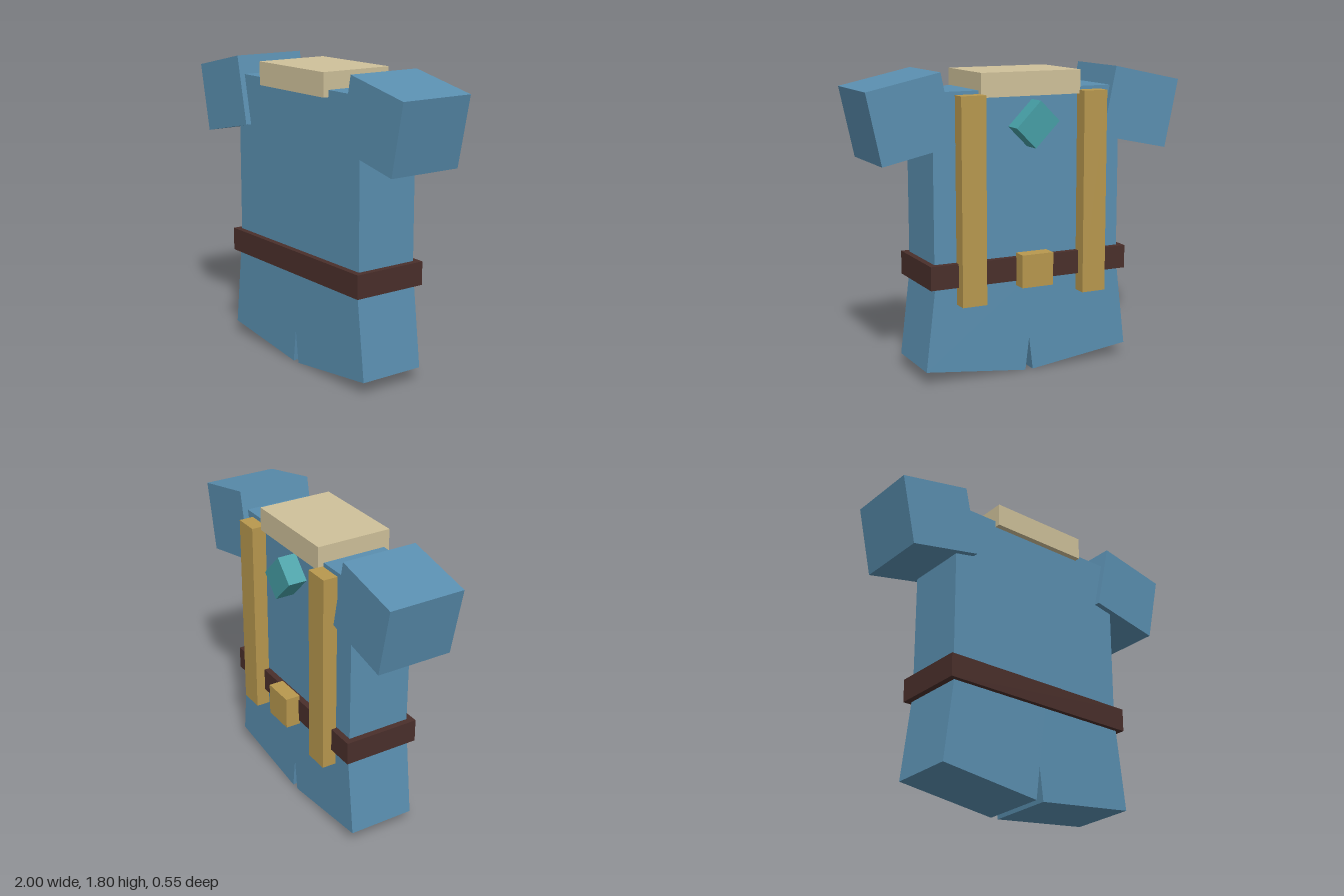
import * as THREE from 'three';

export function createModel() {
  const model = new THREE.Group();
  const mat = (color) => new THREE.MeshStandardMaterial({ color, flatShading: true });
  const cloth = mat(0x5a8fb0);
  const leather = mat(0x4a2f2b);
  const linen = mat(0xcfc19a);
  const brass = mat(0xb8984e);
  const teal = mat(0x469fa6);
  const midZ = 0.041; // depth centre of the garment

  function box(name, material, size, position, tilt = 0) {
    const mesh = new THREE.Mesh(new THREE.BoxGeometry(...size), material);
    mesh.name = name;
    mesh.position.set(...position);
    mesh.rotation.z = tilt;
    model.add(mesh);
  }

  // Body of the tunic, belt and collar
  box('torso', cloth, [1.2, 1.07, 0.39], [0, 1.155, midZ]);
  box('belt', leather, [1.275, 0.14, 0.465], [0, 0.642, midZ]);
  box('collar', linen, [0.635, 0.14, 0.46], [0, 1.72, midZ]);

  // Mirrored sleeves, trouser legs and back straps
  for (const [side, s] of [['left', 1], ['right', -1]]) {
    box(side + 'Sleeve', cloth, [0.447, 0.42, 0.459], [s * 0.737, 1.55, midZ], s * -0.209);
    box(side + 'Leg', cloth, [0.641, 0.62, 0.408], [s * 0.305, 0.353, midZ], s * 0.122);
    box(side + 'BackStrap', brass, [0.152, 1.205, 0.088], [s * 0.39, 1.068, -0.204]);
  }

  // Buckle and tilted patch on the back
  box('backBuckle', brass, [0.2, 0.195, 0.09], [0, 0.643, -0.23]);
  box('backPatch', teal, [0.214, 0.171, 0.114], [-0.003, 1.492, -0.212], -Math.PI / 4);

  return model;
}
